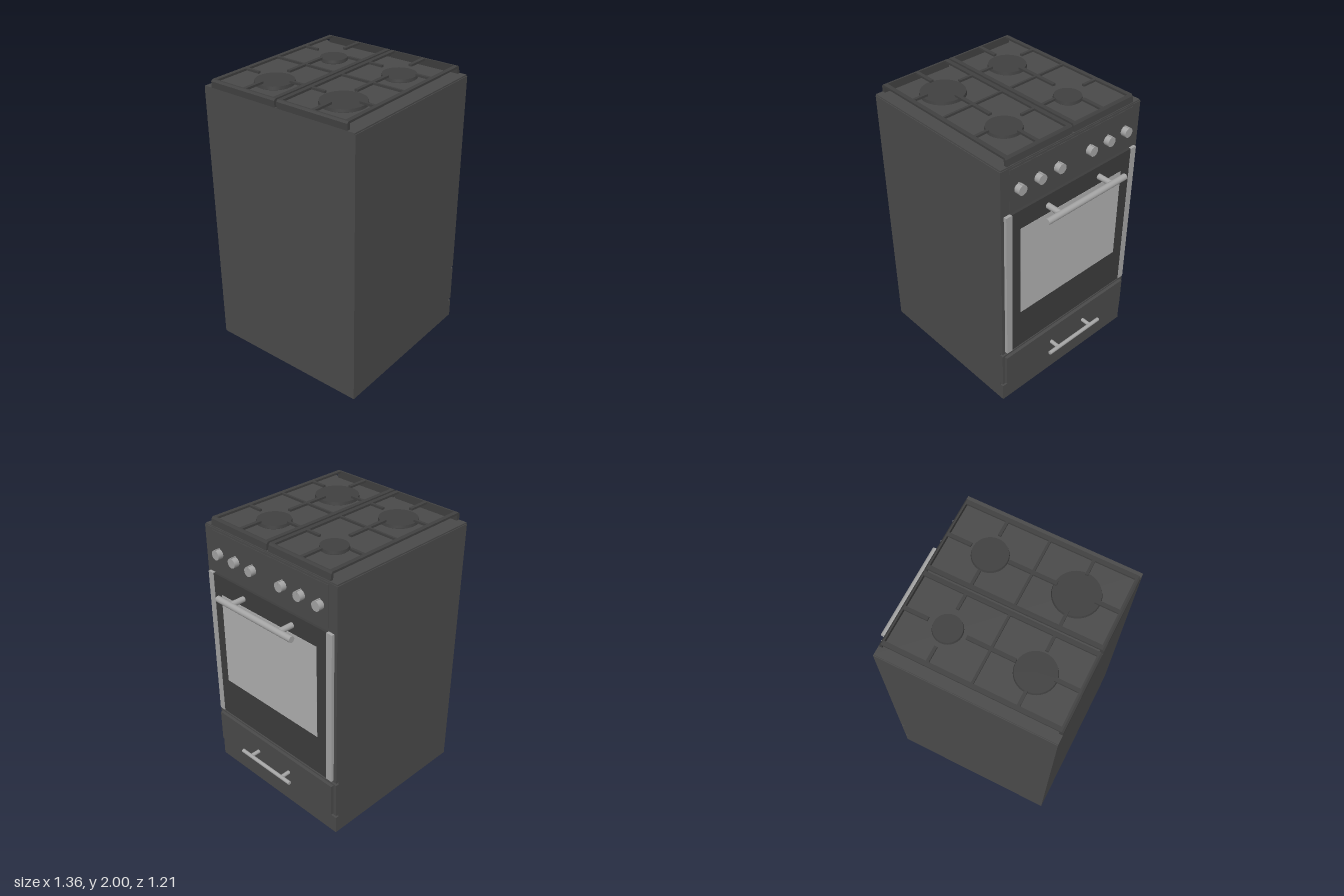
import * as THREE from 'three';

const material = (color) => new THREE.MeshStandardMaterial({ color });
const dark = material(0x4a4a4a);
const black = material(0x3c3c3c);
const iron = material(0x404040);
const glass = material(0xb0b0b0);
const steel = material(0xa4a4a4);

export function createModel() {
  const model = new THREE.Group();
  model.name = 'gasCooker';

  const add = (name, geometry, mat, parent = model) => {
    const mesh = new THREE.Mesh(geometry, mat);
    mesh.name = name;
    parent.add(mesh);
    return mesh;
  };
  // Box given by its extents on each axis
  const box = (name, [x0, x1], [y0, y1], [z0, z1], mat, parent) => {
    const mesh = add(name, new THREE.BoxGeometry(x1 - x0, y1 - y0, z1 - z0), mat, parent);
    mesh.position.set((x0 + x1) / 2, (y0 + y1) / 2, (z0 + z1) / 2);
    return mesh;
  };
  // Cylinder lying along x
  const rodX = (name, x0, x1, y, z, r, mat, parent) => {
    const geometry = new THREE.CylinderGeometry(r, r, x1 - x0, 24).rotateZ(Math.PI / 2);
    const mesh = add(name, geometry, mat, parent);
    mesh.position.set((x0 + x1) / 2, y, z);
    return mesh;
  };
  // Side profile in the xy plane, extruded from z0 to z1
  const profile = (name, points, z0, z1, mat, parent) => {
    const shape = new THREE.Shape(points.map(([x, y]) => new THREE.Vector2(x, y)));
    const geometry = new THREE.ExtrudeGeometry(shape, { depth: z1 - z0, bevelEnabled: false });
    const mesh = add(name, geometry, mat, parent);
    mesh.position.z = z0;
    return mesh;
  };

  // Cabinet with grooves above and below the drawer
  profile('cabinet', [
    [-0.68, 0], [0.525, 0], [0.525, 0.135], [0.5, 0.135], [0.5, 0.155], [0.525, 0.155],
    [0.525, 0.43], [0.5, 0.43], [0.5, 0.45], [0.525, 0.45], [0.525, 1.936], [-0.68, 1.936],
  ], -0.605, 0.605, dark);
  box('hobPlate', [-0.68, 0.522], [1.936, 1.946], [-0.6, 0.6], dark);

  // Control panel and knobs
  box('controlPanel', [0.51, 0.528], [1.63, 1.92], [-0.53, 0.535], dark);
  for (const z of [-0.465, -0.303, -0.14, 0.14, 0.303, 0.465]) {
    const knob = new THREE.Group();
    knob.name = 'knob';
    model.add(knob);
    rodX('knobBody', 0.525, 0.568, 1.77, z, 0.034, steel, knob);
    box('knobPointer', [0.528, 0.57], [1.785, 1.809], [z - 0.003, z + 0.003], steel, knob);
  }

  // Oven door
  const door = new THREE.Group();
  door.name = 'ovenDoor';
  model.add(door);
  box('doorPanel', [0.52, 0.543], [0.465, 1.61], [-0.535, 0.535], black, door);
  for (const s of [-1, 1]) {
    const strip = box('doorTrim', [0.52, 0.547], [0.465, 1.61], [-0.024, 0.024], steel, door);
    strip.position.z = s * 0.557;
  }
  box('doorWindow', [0.53, 0.545], [0.77, 1.47], [-0.447, 0.46], glass, door);

  // Drawer
  box('drawerFront', [0.52, 0.547], [0.165, 0.418], [-0.58, 0.585], dark);

  // Bar handles on two posts
  const handle = (name, x, y, halfLength, r, postZ, postR) => {
    const group = new THREE.Group();
    group.name = name;
    model.add(group);
    const bar = add('handleBar', new THREE.CylinderGeometry(r, r, halfLength * 2, 24).rotateX(Math.PI / 2), steel, group);
    bar.position.set(x, y, 0);
    for (const s of [-1, 1]) rodX('handlePost', 0.54, x, y, s * postZ, postR, steel, group);
  };
  handle('doorHandle', 0.658, 1.53, 0.352, 0.022, 0.23, 0.02);
  handle('drawerHandle', 0.621, 0.287, 0.248, 0.014, 0.16, 0.014);

  // Burners: base ring and cap
  for (const [x, z, r] of [
    [-0.38, -0.275, 0.135], [0.205, -0.265, 0.097], [-0.38, 0.285, 0.155], [0.205, 0.285, 0.12],
  ]) {
    const burner = new THREE.Group();
    burner.name = 'burner';
    burner.position.set(x, 0, z);
    model.add(burner);
    add('burnerBase', new THREE.CylinderGeometry(r * 0.9, r * 0.9, 0.014, 40), iron, burner).position.y = 1.95;
    add('burnerCap', new THREE.CylinderGeometry(r - 0.004, r, 0.02, 40), iron, burner).position.y = 1.964;
  }

  // Pan supports
  const top = [1.985, 2];
  const support = (z0, z1, zc) => {
    const grate = new THREE.Group();
    grate.name = 'panSupport';
    model.add(grate);
    // Long rails
    box('rail', [-0.668, 0.5], top, [z0, z0 + 0.03], iron, grate);
    box('rail', [-0.668, 0.5], top, [z1 - 0.03, z1], iron, grate);
    // End walls with a chamfered top edge
    profile('endWall', [[-0.68, 1.945], [-0.655, 1.945], [-0.655, 2], [-0.668, 2], [-0.68, 1.988]], z0, z1, iron, grate);
    profile('endWall', [[0.497, 1.945], [0.518, 1.945], [0.51, 1.988], [0.5, 2], [0.49, 2]], z0, z1, iron, grate);
    box('crossBar', [-0.094, -0.078], top, [z0 + 0.03, z1 - 0.03], iron, grate);
    // Fingers pointing at the burners
    for (const x of [[-0.66, -0.5], [-0.25, 0.075], [0.33, 0.5]]) {
      box('finger', x, top, [zc - 0.013, zc + 0.013], iron, grate);
    }
    for (const x of [-0.382, 0.207]) {
      box('finger', [x - 0.01, x + 0.01], top, [z0 + 0.02, z0 + 0.135], iron, grate);
      box('finger', [x - 0.01, x + 0.01], top, [z1 - 0.135, z1 - 0.02], iron, grate);
    }
  };
  support(-0.54, -0.004, -0.272);
  support(0.012, 0.548, 0.28);

  return model;
}
